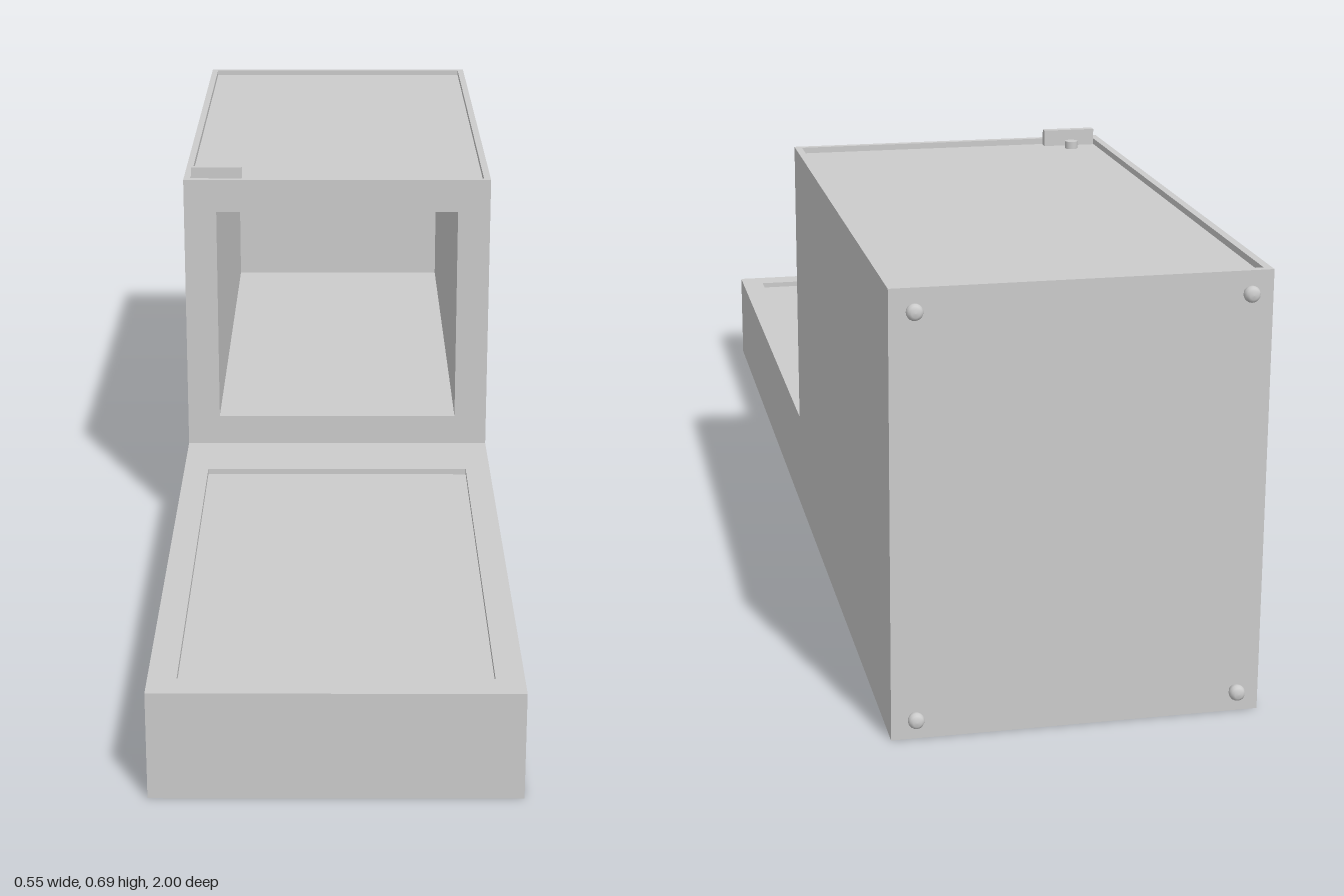
import * as THREE from 'three';

const material = new THREE.MeshStandardMaterial({ color: 0xcccccc });
const HALF = 0.275, BACK = -0.98, FRONT = 1, DECK = 0.17, TOP = 0.673, LIP = 0.01;

function add(parent, name, geometry, x = 0, y = 0, z = 0) {
  const mesh = new THREE.Mesh(geometry, material);
  mesh.name = name;
  mesh.position.set(x, y, z);
  parent.add(mesh);
  return mesh;
}

// box given by its extents
function block(parent, name, [x0, x1], [y0, y1], [z0, z1]) {
  return add(parent, name, new THREE.BoxGeometry(x1 - x0, y1 - y0, z1 - z0),
    (x0 + x1) / 2, (y0 + y1) / 2, (z0 + z1) / 2);
}

// rectangular ring extruded along +z; each rectangle is [u0, u1, v0, v1]
function ring(outer, inner, depth) {
  const corners = ([u0, u1, v0, v1]) =>
    [[u0, v0], [u1, v0], [u1, v1], [u0, v1]].map(([u, v]) => new THREE.Vector2(u, v));
  const shape = new THREE.Shape(corners(outer));
  shape.holes.push(new THREE.Path(corners(inner).reverse()));
  return new THREE.ExtrudeGeometry(shape, { depth, bevelEnabled: false });
}

// flat rim on a horizontal surface; rectangles are [x0, x1, z0, z1]
function rim(parent, name, outer, inner, y) {
  const flip = ([x0, x1, z0, z1]) => [x0, x1, -z1, -z0];
  const geometry = ring(flip(outer), flip(inner), LIP).rotateX(-Math.PI / 2);
  return add(parent, name, geometry, 0, y, 0);
}

export function createModel() {
  const model = new THREE.Group();
  model.name = 'boxWithTray';

  // low front deck with a shallow recessed tray
  block(model, 'deck', [-HALF, HALF], [0, DECK - LIP], [0, FRONT]);
  rim(model, 'deckRim', [-HALF, HALF, 0, FRONT], [-0.232, 0.232, 0.13, 0.953], DECK - LIP);

  // hollow chamber, open at the front and closed at the back
  const wall = 0.058;
  add(model, 'chamber',
    ring([-HALF, HALF, 0, TOP - LIP], [-0.217, 0.217, 0.224, 0.614], -BACK - wall),
    0, 0, BACK + wall);
  block(model, 'backWall', [-HALF, HALF], [0, TOP - LIP], [BACK, BACK + wall]);

  // thin raised border around the lid
  const r = 0.012;
  rim(model, 'lidRim', [-HALF, HALF, BACK, 0], [-HALF + r, HALF - r, BACK + r, -r], TOP - LIP);

  // lid tab and the small button behind it
  block(model, 'lidTab', [-0.262, -0.172], [TOP - LIP, 0.691], [-0.032, -0.018]);
  add(model, 'lidButton', new THREE.CylinderGeometry(0.011, 0.011, 0.014, 24), -0.215, 0.669, -0.057);

  // four rounded studs on the back
  const profile = [[0, 0.02], [0.006, 0.0195], [0.01, 0.017], [0.012, 0.012], [0.012, 0.008], [0.009, 0]]
    .reverse().map(([x, y]) => new THREE.Vector2(x, y));
  const stud = new THREE.LatheGeometry(profile, 20).rotateX(-Math.PI / 2);
  for (const x of [-0.24, 0.24])
    for (const y of [0.033, 0.641]) add(model, 'backStud', stud, x, y, BACK);

  return model;
}
